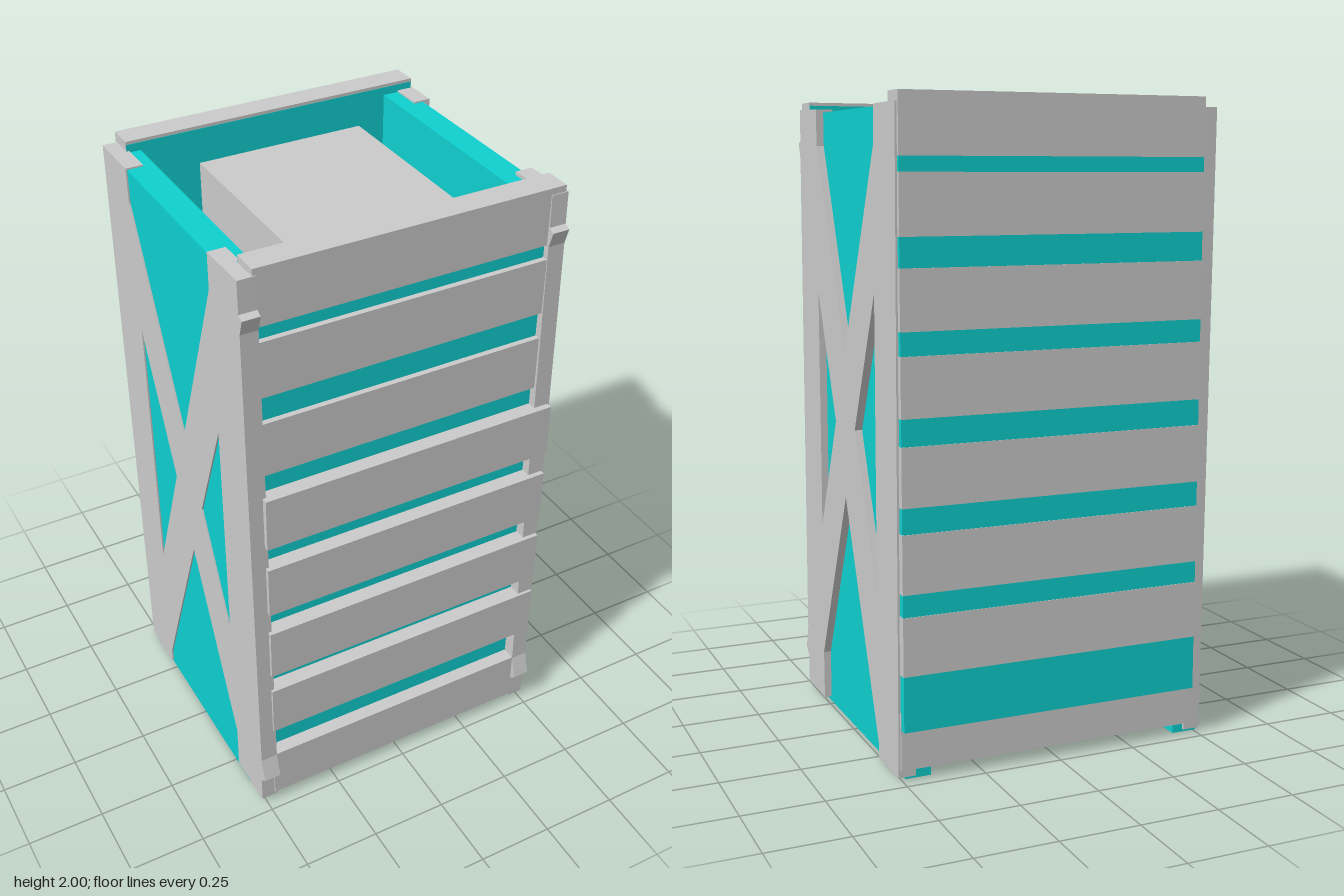
import * as THREE from 'three';

const grey = new THREE.MeshStandardMaterial({ color: 0xcccccc, flatShading: true });
const cyan = new THREE.MeshStandardMaterial({ color: 0x0fd0d0, flatShading: true });

export function createModel() {
  const model = new THREE.Group();

  // Box given by its limits on each axis
  const box = (name, material, [x0, x1], [y0, y1], [z0, z1]) => {
    const mesh = new THREE.Mesh(new THREE.BoxGeometry(x1 - x0, y1 - y0, z1 - z0), material);
    mesh.position.set((x0 + x1) / 2, (y0 + y1) / 2, (z0 + z1) / 2);
    mesh.name = name;
    model.add(mesh);
  };

  // Coloured wall panels
  const width = [-0.47, 0.505];
  box('rightPanel', cyan, [-0.51, -0.425], [0, 1.965], [-0.445, 0.36]);
  box('leftPanel', cyan, [0.405, 0.487], [0, 1.965], [-0.445, 0.36]);
  box('frontPanel', cyan, [-0.469, 0.504], [0.16, 1.99], [0.343, 0.42]);
  box('backPanel', cyan, [-0.469, 0.504], [0.16, 1.99], [-0.489, -0.408]);

  // Horizontal slats: bottom edge, front face z, back face z
  const slats = [
    [0.035, 0.465, -0.465], [0.33, 0.47, -0.491], [0.575, 0.47, -0.491], [0.83, 0.468, -0.491],
    [1.088, 0.468, -0.491], [1.335, 0.438, -0.491], [1.6, 0.438, -0.491], [1.822, 0.432, -0.491],
  ];
  for (const [y, front, back] of slats) {
    box('frontSlat', grey, width, [y, y + 0.178], [front - 0.085, front]);
    box('backSlat', grey, width, [y, y + 0.178], [back, back + 0.082]);
  }

  // Inner block
  box('innerBlock', grey, [-0.295, 0.24], [0.07, 1.95], [-0.275, 0.32]);

  // Cross-braced side frames, drawn as (z, y) and extruded across x
  const points = (list) => list.map(([z, y]) => new THREE.Vector2(z, y));
  const outline = new THREE.Shape(points([
    [0.46, 0.02], [0.46, 0.11], [0.487, 0.135], [0.465, 0.21], [0.44, 1.82], [0.456, 1.87], [0.437, 1.88],
    [0.435, 1.98], [0.255, 1.975], [0.255, 1.86], [0, 1.22], [-0.3, 1.86], [-0.305, 1.97], [-0.482, 1.97],
    [-0.455, 0.01], [-0.28, 0.01], [-0.28, 0.055], [0.01, 0.765], [0.28, 0.175], [0.28, 0.015],
  ]));
  outline.holes.push(
    new THREE.Path(points([[0.265, 1.395], [0.1, 0.995], [0.27, 0.62]])),
    new THREE.Path(points([[-0.29, 1.43], [-0.09, 0.995], [-0.28, 0.52]])),
  );
  const frame = new THREE.ExtrudeGeometry(outline, { depth: 0.055, bevelEnabled: false });
  frame.rotateY(-Math.PI / 2);
  for (const [name, x] of [['leftFrame', 0.511], ['rightFrame', -0.46]]) {
    const mesh = new THREE.Mesh(frame, grey);
    mesh.position.x = x;
    mesh.name = name;
    model.add(mesh);
  }

  return model;
}
